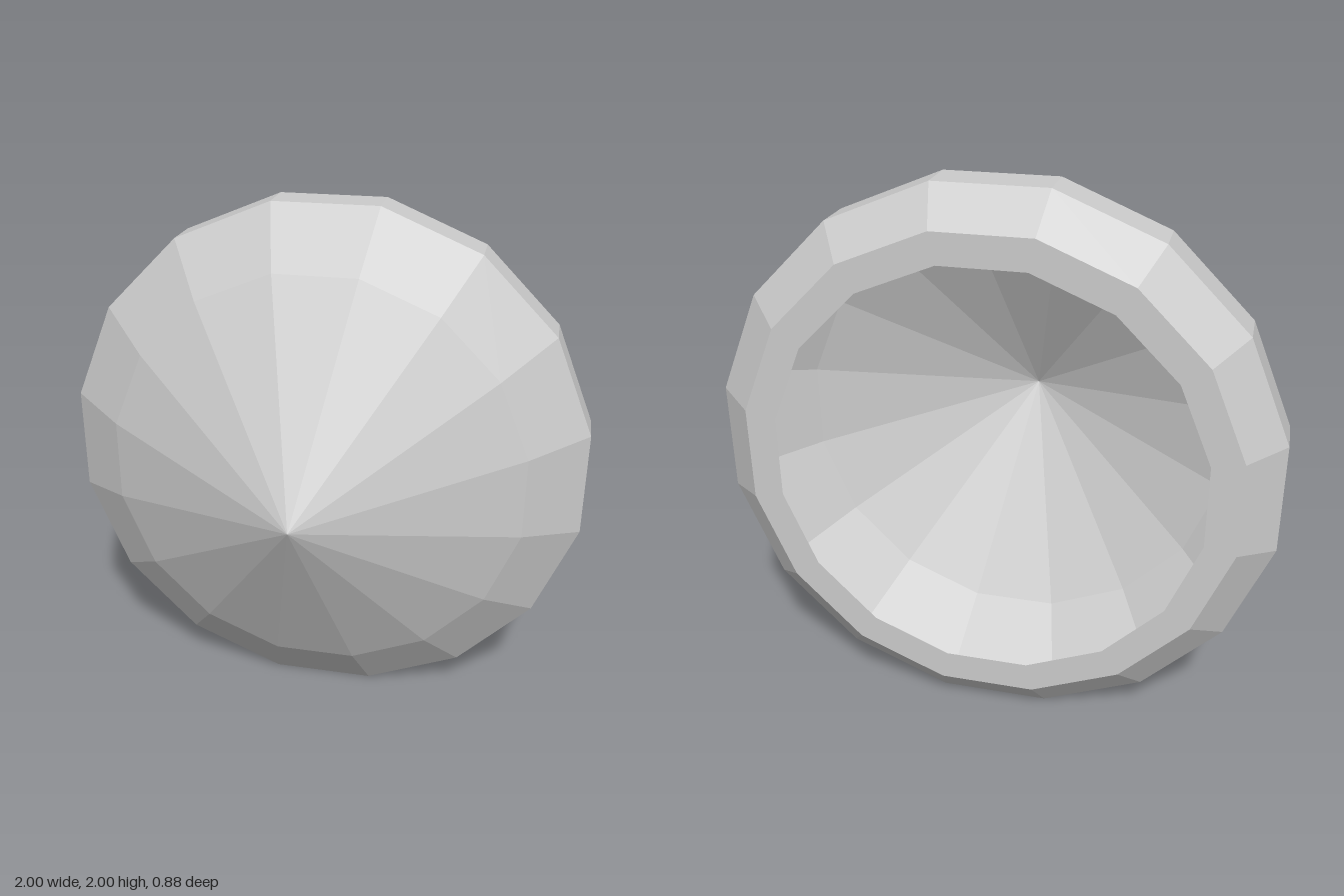
import * as THREE from 'three';

const SIDES = 16;
const CORNER = 1 / Math.cos(Math.PI / SIDES); // flat-to-corner radius ratio

export function createModel() {
  const group = new THREE.Group();
  group.name = 'facetedDish';
  // Thin open shell, so both sides show
  const grey = new THREE.MeshStandardMaterial({ color: 0xcccccc, flatShading: true, side: THREE.DoubleSide });
  grey.name = 'light grey';

  // Turns a [flat radius, z] profile into a sixteen-sided ring facing +z
  function ring(name, profile) {
    const points = profile.map(([r, z]) => new THREE.Vector2(r * CORNER, z));
    const geometry = new THREE.LatheGeometry(points, SIDES, Math.PI / SIDES, Math.PI * 2);
    geometry.rotateX(Math.PI / 2);
    const mesh = new THREE.Mesh(geometry, grey);
    mesh.name = name;
    mesh.position.y = 1;
    group.add(mesh);
  }

  // Pointed front, with a steeper shoulder near the edge
  ring('frontCone', [[1, -0.17], [0.785, 0], [0, 0.438]]);
  // Straight outer band
  ring('outerBand', [[1, -0.325], [1, -0.17]]);
  // Bevel towards the back
  ring('backBevel', [[0.87, -0.438], [1, -0.325]]);
  // Flat lip around the open back
  ring('backLip', [[0.76, -0.438], [0.87, -0.438]]);

  return group;
}
